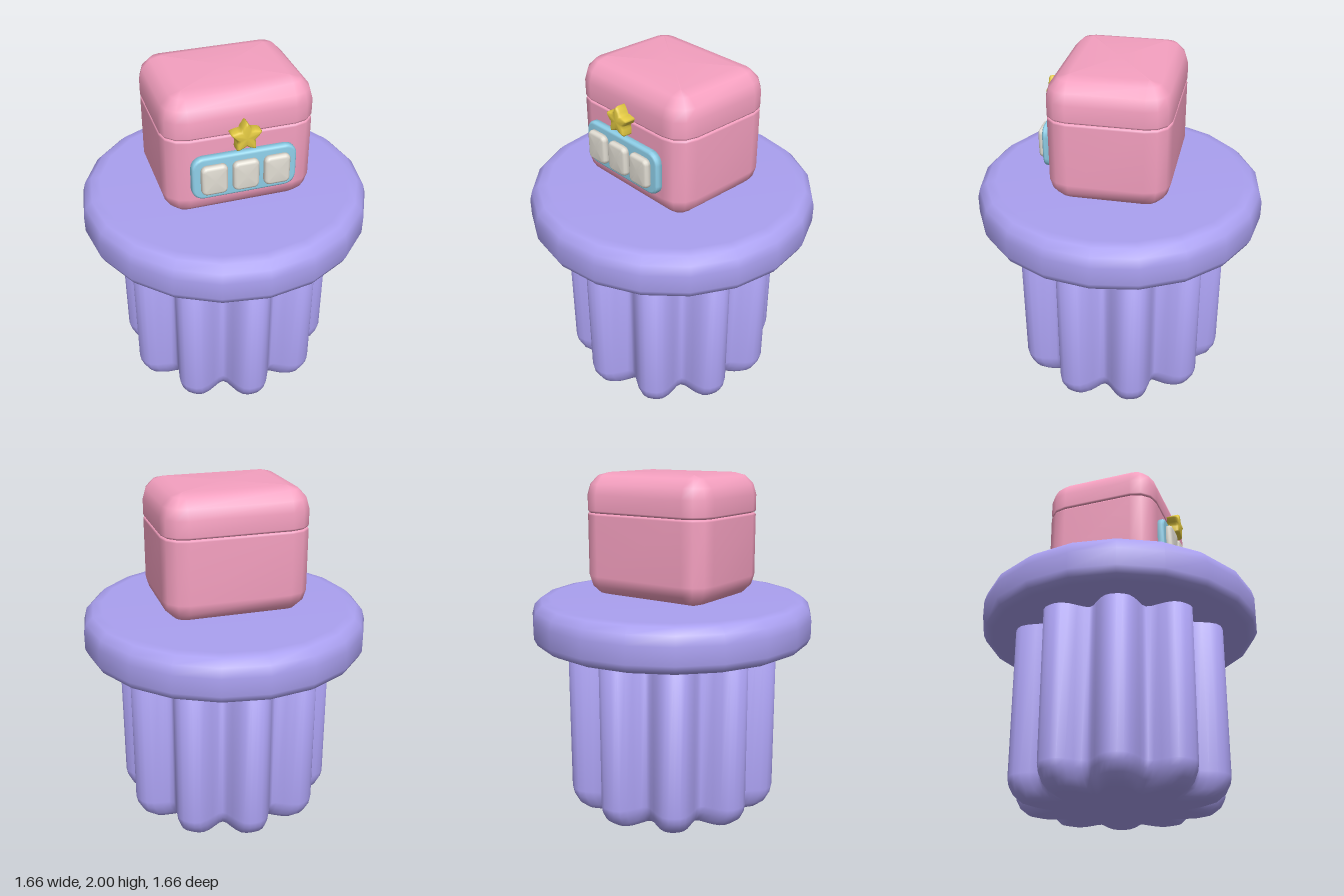
import * as THREE from 'three';

// Stacks outlines from bottom to top. outline(inset) gives [x, z] points; layers are [inset, y].
function loft(outline, layers) {
  const pos = [], idx = [];
  const n = outline(0).length;
  for (const [inset, y] of layers) for (const [x, z] of outline(inset)) pos.push(x, y, z);
  for (let j = 0; j < layers.length - 1; j++) {
    for (let i = 0; i < n; i++) {
      const a = j * n + i, b = j * n + (i + 1) % n;
      idx.push(a, b, b + n, a, b + n, a + n);
    }
  }
  // end caps
  const bottom = layers.length * n, top = bottom + 1, last = bottom - n;
  pos.push(0, layers[0][1], 0, 0, layers[layers.length - 1][1], 0);
  for (let i = 0; i < n; i++) {
    const k = (i + 1) % n;
    idx.push(bottom, k, i, top, last + i, last + k);
  }
  const g = new THREE.BufferGeometry();
  g.setAttribute('position', new THREE.Float32BufferAttribute(pos, 3));
  g.setIndex(idx);
  g.computeVertexNormals();
  return g;
}

// Outline from a radius rule around the axis
const polar = (n, radius) => (inset) => Array.from({ length: n }, (_, i) => {
  const t = (i / n) * Math.PI * 2, r = radius(t, i) - inset;
  return [r * Math.sin(t), r * Math.cos(t)];
});

// Rounded rectangle with half sizes w, d and corner radius r
const roundRect = (w, d, r, seg = 3) => (inset) => {
  const pts = [], rr = Math.max(r - inset, 0.004);
  for (let k = 0; k < 4; k++) {
    const sx = k < 2 ? 1 : -1, sz = k === 0 || k === 3 ? 1 : -1;
    for (let s = 0; s <= seg; s++) {
      const t = (k + s / seg) * Math.PI / 2;
      pts.push([sx * (w - inset - rr) + rr * Math.sin(t), sz * (d - inset - rr) + rr * Math.cos(t)]);
    }
  }
  return pts;
};

export function createModel() {
  const group = new THREE.Group();
  const colours = { purple: 0xaaa0f0, pink: 0xf5a0c0, blue: 0x8fd0ea, cream: 0xe2ded4, yellow: 0xe4ca42 };
  const mats = {};
  for (const k in colours) mats[k] = new THREE.MeshStandardMaterial({ color: colours[k] });

  const add = (name, geometry, mat) => {
    const mesh = new THREE.Mesh(geometry, mats[mat]);
    mesh.name = name;
    group.add(mesh);
    return mesh;
  };
  // Lofts a part so that its stacking direction points to the front
  const addFacing = (name, outline, layers, mat, x, y) => {
    const mesh = add(name, loft(outline, layers).rotateX(Math.PI / 2), mat);
    mesh.position.set(x, y, 0);
  };

  // Fluted column with ten lobes and a rounded foot
  const lobes = (t) => 0.63 - 0.13 * Math.pow(Math.abs(Math.sin(5 * t)), 3.2);
  add('column', loft(polar(120, lobes), [
    [0.14, 0], [0.08, 0.015], [0.035, 0.05], [0.008, 0.1], [0, 0.14], [0, 1.04],
  ]), 'purple');

  // Round table top, twenty sides
  add('tableTop', loft(polar(20, () => 0.83), [
    [0.1, 1.02], [0.055, 1.022], [0.02, 1.04], [0, 1.08],
    [0, 1.18], [0.015, 1.235], [0.055, 1.272], [0.11, 1.28],
  ]), 'purple');

  // Box body and lid, with a narrow groove between
  const plan = roundRect(0.42, 0.338, 0.13);
  add('boxBody', loft(plan, [
    [0.128, 1.288], [0.065, 1.305], [0.018, 1.35], [0, 1.41],
    [0, 1.76], [0.004, 1.769], [0.014, 1.773],
  ]), 'pink');
  add('boxLid', loft(plan, [
    [0.014, 1.773], [0.004, 1.778], [0, 1.787], [0, 1.875],
    [0.018, 1.935], [0.065, 1.983], [0.128, 2],
  ]), 'pink');

  // Front panel and its three buttons
  addFacing('frontPanel', roundRect(0.29, 0.126, 0.065, 5), [
    [0, 0.31], [0, 0.362], [0.005, 0.372], [0.015, 0.377],
  ], 'blue', 0, 1.553);
  for (const x of [-0.173, 0, 0.173]) {
    addFacing('button', roundRect(0.072, 0.086, 0.03, 4), [
      [0, 0.36], [0, 0.395], [0.006, 0.406], [0.018, 0.412],
    ], 'cream', x, 1.553);
  }

  // Star clasp: blunt tips, pointing up
  const starRadius = (t, i) => [0.05, 0.061, 0.082, 0.087, 0.082, 0.061][(i) % 6];
  const star = (inset) => Array.from({ length: 30 }, (_, i) => {
    const tip = Math.floor(i / 6) * 72;
    const t = THREE.MathUtils.degToRad(tip + [0, 14, 31.5, 36, 40.5, 58][i % 6]);
    const r = starRadius(t, i) - inset;
    return [r * Math.sin(t), r * Math.cos(t)];
  });
  addFacing('starClasp', star, [
    [0, 0.32], [0, 0.385], [0.005, 0.396], [0.016, 0.402],
  ], 'yellow', 0, 1.775);

  return group;
}
